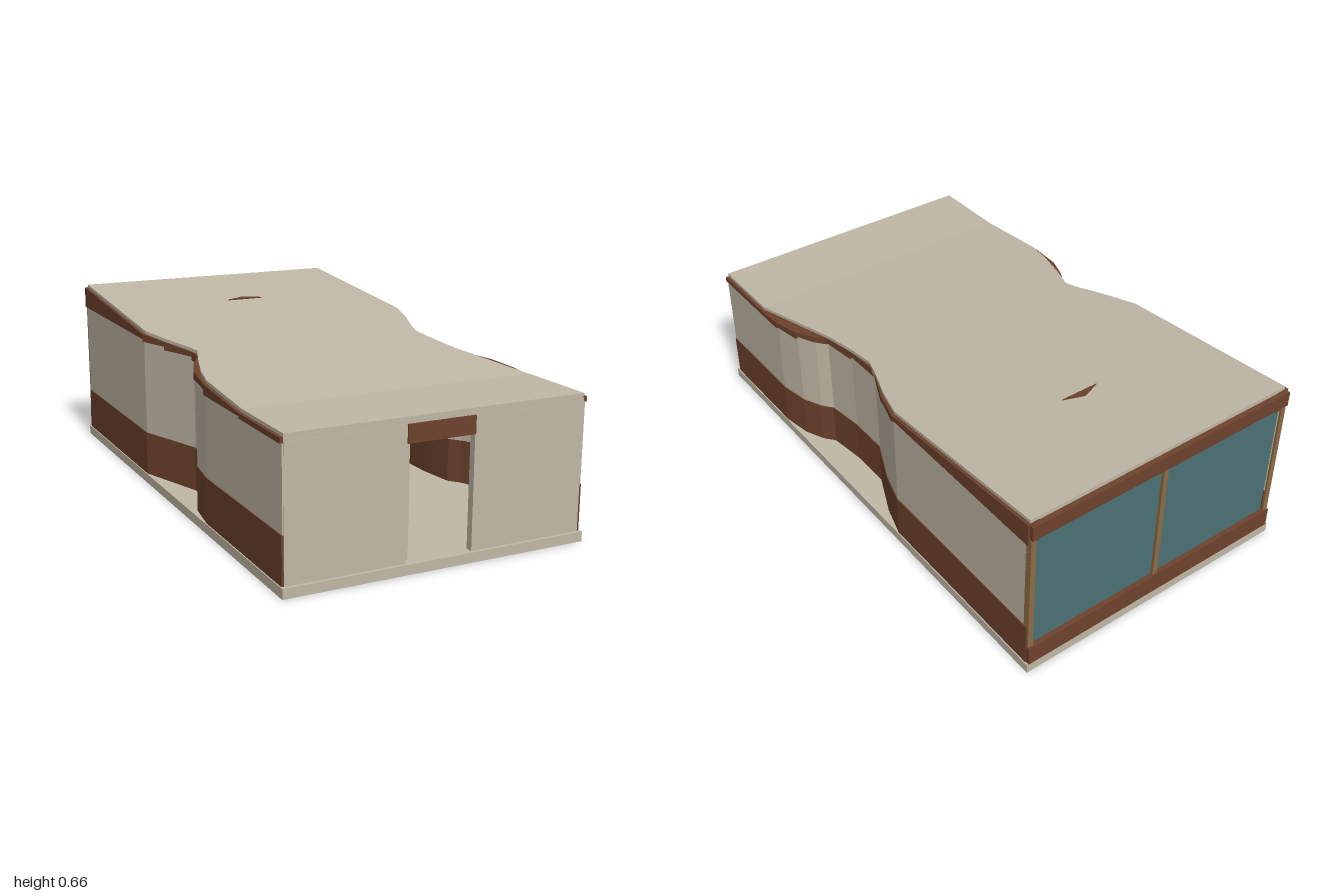
import * as THREE from 'three';

const mat = (name, color) => Object.assign(new THREE.MeshStandardMaterial({ color }), { name });

export function createModel() {
  const house = new THREE.Group();
  house.name = 'house';
  const plaster = mat('plaster', 0xc0b7a5);
  const timber = mat('timber', 0x6e422d);
  const glass = mat('glass', 0x4b7176);
  const oak = mat('oak', 0x8d6b45);
  const white = mat('white', 0xe2e0da);

  const add = (name, geometry, material, parent = house) => {
    const mesh = new THREE.Mesh(geometry, material);
    mesh.name = name;
    parent.add(mesh);
    return mesh;
  };
  // box given by its limits on each axis
  const box = (name, m, x0, x1, y0, y1, z0, z1) => {
    const mesh = add(name, new THREE.BoxGeometry(x1 - x0, y1 - y0, z1 - z0), m);
    mesh.position.set((x0 + x1) / 2, (y0 + y1) / 2, (z0 + z1) / 2);
    return mesh;
  };
  // flat-faced solid through four-cornered rings, running from front to back
  const loft = (rings) => {
    const pos = [];
    const quad = (a, b, c, d) => pos.push(...a, ...b, ...c, ...a, ...c, ...d);
    for (let i = 0; i < rings.length - 1; i++) {
      const p = rings[i], q = rings[i + 1];
      for (let j = 0; j < 4; j++) quad(p[j], p[(j + 1) % 4], q[(j + 1) % 4], q[j]);
    }
    const first = rings[0], last = rings[rings.length - 1];
    quad(first[0], first[3], first[2], first[1]);
    quad(...last);
    const g = new THREE.BufferGeometry();
    g.setAttribute('position', new THREE.Float32BufferAttribute(pos, 3));
    g.computeVertexNormals();
    return g;
  };
  const ring = (right, left, lo, hi, z) =>
    [[right, lo, z], [left, lo, z], [left, hi, z], [right, hi, z]];

  const roofY = (z) => 0.515 + Math.max(0, 0.68 - z) * 0.0875;
  // x on a polyline of [z, x] points with falling z
  const sample = (line, z) => {
    for (let i = 0; i < line.length - 1; i++) {
      const [z0, x0] = line[i], [z1, x1] = line[i + 1];
      if (z <= z0 && z >= z1) return x0 + (x1 - x0) * (z0 - z) / (z0 - z1);
    }
    return line[0][1];
  };

  // base slab
  box('baseSlab', plaster, -0.557, 0.557, 0, 0.035, -1, 1);

  // sloping roof, pinched on both sides
  const roofRight = [[0.985, 0.545], [0.69, 0.545], [0.33, 0.465], [0.2, 0.45], [0.08, 0.443],
    [0, 0.468], [-0.12, 0.512], [-0.24, 0.545], [-0.98, 0.545]];
  const roofLeft = [[0.985, 0.545], [0.38, 0.545], [0.28, 0.525], [0.15, 0.485], [0.06, 0.452],
    [0.02, 0.46], [-0.12, 0.51], [-0.24, 0.545], [-0.98, 0.545]];
  const stations = [...new Set([...roofRight, ...roofLeft].map((p) => p[0]).concat(0.68))]
    .sort((a, b) => b - a);
  add('roof', loft(stations.map((z) => ring(sample(roofRight, z), -sample(roofLeft, z),
    roofY(z) - 0.025, roofY(z), z))), plaster);

  // curved side walls: timber skirting, plaster, timber fascia
  const wallTop = (z) => z > 0.57 ? 0.485 : z > 0.455 ? 0.492 : z > 0.34 ? 0.505 : z > 0.2 ? 0.512
    : z > 0.04 ? 0.528 : z > -0.12 ? 0.542 : z > -0.24 ? 0.555 : 0.565;
  const sides = [
    [1, [[0.985, 0.557], [0.68, 0.557], [0.57, 0.557], [0.455, 0.537], [0.38, 0.502], [0.34, 0.47],
      [0.2, 0.453], [0.04, 0.452], [-0.12, 0.522], [-0.24, 0.557], [-0.985, 0.557]]],
    [-1, [[0.985, 0.557], [0.68, 0.557], [0.38, 0.557], [0.24, 0.537], [0.16, 0.505], [0.08, 0.46],
      [0.03, 0.463], [-0.12, 0.515], [-0.24, 0.557], [-0.985, 0.557]]],
  ];
  for (const [s, line] of sides) {
    const wall = new THREE.Group();
    wall.name = s > 0 ? 'leftWall' : 'rightWall';
    house.add(wall);
    for (let i = 0; i < line.length - 1; i++) {
      const ends = [line[i], line[i + 1]];
      const top = wallTop((ends[0][0] + ends[1][0]) / 2);
      const band = (name, m, inset, depth, lo, hi) => add(name, loft(ends.map(([z, x]) => {
        const out = s * (x - inset), inner = s * (x - depth);
        return ring(Math.max(out, inner), Math.min(out, inner), lo, hi(z), z);
      })), m, wall);
      band('skirting', timber, 0.004, 0.03, 0.035, () => 0.2);
      band('wallPanel', plaster, 0.007, 0.03, 0.2, () => top);
      band('fascia', timber, 0, 0.045, top, (z) => roofY(z) - 0.012);
    }
  }

  // front wall with doorway, lintel and open door
  for (const s of [-1, 1]) {
    const [a, b] = s > 0 ? [0.122, 0.545] : [-0.545, -0.125];
    box('frontWall', plaster, a, b, 0.035, 0.49, 0.96, 0.987);
  }
  box('doorLintel', timber, -0.125, 0.122, 0.43, 0.492, 0.96, 0.992);
  box('openDoor', plaster, -0.125, -0.1, 0.035, 0.43, 0.72, 0.96);

  // glazed back with sill, lintel and posts
  box('backGlass', glass, -0.54, 0.54, 0.1, 0.61, -0.982, -0.976);
  box('backSill', timber, -0.55, 0.55, 0.035, 0.11, -1, -0.968);
  box('backLintel', timber, -0.55, 0.55, 0.59, 0.646, -1, -0.968);
  for (const x of [-0.54, 0, 0.54]) box('backPost', oak, x - 0.01, x + 0.01, 0.11, 0.59, -0.993, -0.968);

  // inner room and a low table with a jar
  box('innerRoom', plaster, -0.09, 0.05, 0.035, 0.41, -0.1, 0.55);
  box('innerRoomCap', timber, -0.1, 0.05, 0.41, 0.42, -0.1, 0.555);
  box('tableTop', timber, 0.08, 0.24, 0.065, 0.09, -0.7, -0.5);
  box('tableLeg', timber, 0.11, 0.21, 0.035, 0.065, -0.66, -0.54);
  const jar = [[0, 0], [0.018, 0], [0.02, 0.03], [0.012, 0.036], [0.012, 0.046], [0, 0.048]];
  add('jar', new THREE.LatheGeometry(jar.map(([x, y]) => new THREE.Vector2(x, y)), 16), white)
    .position.set(0.12, 0.09, -0.56);

  // small triangular ridge tip on the roof
  const tip = new THREE.Shape([[-0.075, 0.56], [0.075, 0.56], [0, 0.59]].map(([x, y]) => new THREE.Vector2(x, y)));
  const ridge = add('roofTip', new THREE.ExtrudeGeometry(tip, { depth: 0.006, bevelEnabled: false }), timber);
  ridge.rotation.x = -Math.PI / 2 + Math.atan(0.0875);
  ridge.position.y = roofY(0) - 0.002;

  return house;
}
